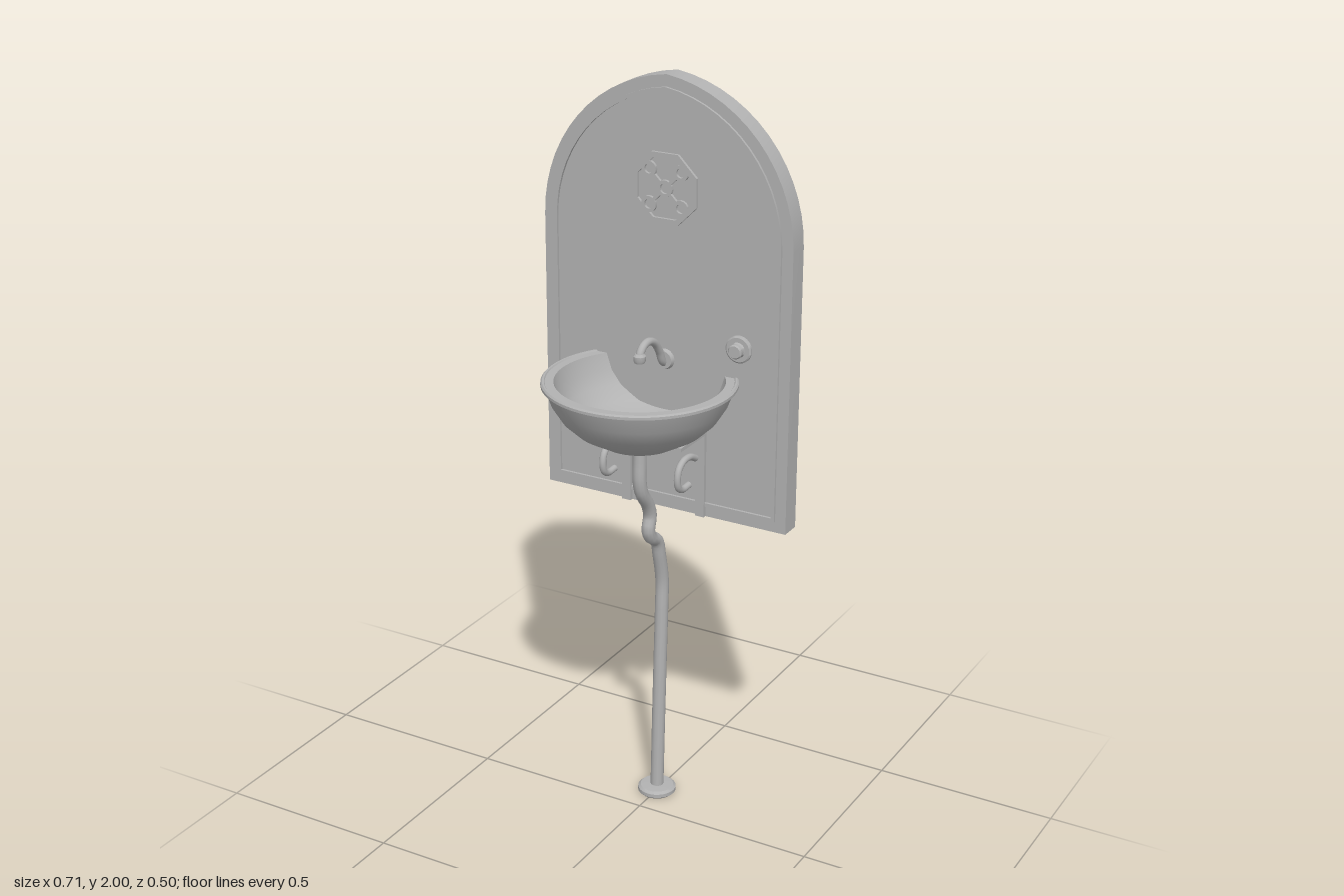
import * as THREE from 'three';
import { toCreasedNormals } from 'three/addons/utils/BufferGeometryUtils.js';

const stone = new THREE.MeshStandardMaterial({ color: 0xb2b2b2 });
stone.name = 'grey stone';

function add(parent, name, geometry, x = 0, y = 0, z = 0) {
  const mesh = new THREE.Mesh(geometry, stone);
  mesh.name = name;
  mesh.position.set(x, y, z);
  parent.add(mesh);
  return mesh;
}

// Slightly pointed arch outline, inset from the panel edge
function archPoints(inset) {
  const cx = 0.048, r = 0.403 - inset, spring = 1.6;
  const end = Math.acos(cx / r), right = [];
  for (let i = 0; i <= 14; i++) {
    const a = (end * i) / 14;
    right.push(new THREE.Vector2(r * Math.cos(a) - cx, spring + r * Math.sin(a)));
  }
  const left = right.slice(0, -1).reverse().map(p => new THREE.Vector2(-p.x, p.y));
  const w = 0.355 - inset, bottom = 0.85 + inset;
  return [new THREE.Vector2(-w, bottom), new THREE.Vector2(w, bottom), ...right, ...left];
}

function extrude(shape, depth) {
  return toCreasedNormals(
    new THREE.ExtrudeGeometry(shape, { depth, bevelEnabled: false, curveSegments: 24 }), 0.5);
}

function ringShape(outer, inner) {
  const shape = new THREE.Shape(outer);
  shape.holes.push(new THREE.Path(inner));
  return shape;
}

function polygon(radius, sides, turn = 0) {
  return Array.from({ length: sides }, (_, i) => {
    const a = turn + (i / sides) * Math.PI * 2;
    return new THREE.Vector2(radius * Math.cos(a), radius * Math.sin(a));
  });
}

// Tube in the x = 0 plane through [z, y] pairs, closed by discs
function pipe(parent, name, pairs, radius, segments, x = 0) {
  const pts = pairs.map(([z, y]) => new THREE.Vector3(0, y, z));
  const curve = new THREE.CatmullRomCurve3(pts, false, 'centripetal');
  add(parent, name, new THREE.TubeGeometry(curve, segments, radius, 12), x);
  for (const t of [0, 1]) {
    const cap = add(parent, name + 'End', new THREE.CircleGeometry(radius, 12));
    const dir = curve.getTangent(t).multiplyScalar(t ? 1 : -1);
    cap.position.copy(curve.getPoint(t)).setX(x);
    cap.quaternion.setFromUnitVectors(new THREE.Vector3(0, 0, 1), dir);
  }
}

function lathe(pairs, segments = 48) {
  const pts = pairs.map(([r, y]) => new THREE.Vector2(r, y));
  return toCreasedNormals(new THREE.LatheGeometry(pts, segments), 0.55);
}

export function createModel() {
  const model = new THREE.Group();
  model.name = 'wallFountain';

  // Back panel with a raised moulding
  add(model, 'backPanel', extrude(new THREE.Shape(archPoints(0)), 0.057), 0, 0, -0.187);
  add(model, 'panelMoulding',
    extrude(ringShape(archPoints(0.03), archPoints(0.04)), 0.008), 0, 0, -0.131);

  // Octagonal rosette
  const rosette = new THREE.Group();
  rosette.name = 'rosette';
  rosette.position.set(0, 1.715, -0.131);
  model.add(rosette);
  const turn = Math.PI / 8;
  add(rosette, 'rosetteRim', extrude(ringShape(polygon(0.098, 8, turn), polygon(0.083, 8, turn)), 0.009));
  add(rosette, 'rosetteCentre', extrude(ringShape(polygon(0.022, 16), polygon(0.013, 16)), 0.009));
  for (let i = 0; i < 4; i++) {
    const a = Math.PI / 4 + (i * Math.PI) / 2, c = Math.cos(a), s = Math.sin(a);
    const spoke = add(rosette, 'rosetteSpoke', new THREE.BoxGeometry(0.03, 0.009, 0.009),
      0.034 * c, 0.034 * s, 0.0045);
    spoke.rotation.z = a;
    add(rosette, 'rosetteRing', extrude(ringShape(polygon(0.021, 16), polygon(0.012, 16)), 0.009),
      0.064 * c, 0.064 * s);
  }

  // Basin, passing through the panel
  add(model, 'basin', lathe([
    [0, 1.085], [0.1, 1.085], [0.112, 1.092], [0.165, 1.122], [0.2, 1.155], [0.225, 1.195],
    [0.241, 1.238], [0.25, 1.241], [0.25, 1.248], [0.246, 1.252], [0.241, 1.252], [0.239, 1.249],
    [0.217, 1.249], [0.205, 1.205], [0.185, 1.17], [0.15, 1.135], [0.1, 1.112], [0.05, 1.104], [0, 1.102]
  ], 64));
  add(model, 'drain', new THREE.CylinderGeometry(0.03, 0.03, 0.006, 32), 0, 1.104, 0);

  // Spout
  pipe(model, 'spout', [[-0.135, 1.25], [-0.115, 1.265], [-0.1, 1.295], [-0.075, 1.325],
    [-0.045, 1.338], [-0.018, 1.334], [-0.002, 1.318], [0.001, 1.3]], 0.0105, 40);
  add(model, 'spoutTip', lathe([[0, 1.296], [0.013, 1.296], [0.016, 1.303], [0.016, 1.314],
    [0.011, 1.32], [0, 1.32]], 20));
  const flange = add(model, 'spoutFlange', new THREE.CylinderGeometry(0.024, 0.028, 0.012, 24), 0, 1.265, -0.125);
  flange.rotation.x = Math.PI / 2;

  // Push button on the panel
  const button = add(model, 'button', lathe([[0.036, 0], [0.036, 0.008], [0.032, 0.011],
    [0.02, 0.011], [0.018, 0.015], [0.019, 0.027], [0.016, 0.031], [0, 0.031]], 32), 0.213, 1.33, -0.132);
  button.rotation.x = Math.PI / 2;

  // Brackets: wall strap, arm and scroll on each side
  for (const side of [-1, 1]) {
    const x = side * 0.11;
    add(model, 'bracketStrap', new THREE.BoxGeometry(0.026, 0.238, 0.01), x, 0.969, -0.125);
    add(model, 'bracketArm', new THREE.BoxGeometry(0.026, 0.01, 0.135), x, 1.085, -0.0625);
    pipe(model, 'bracketScroll', [[-0.095, 1.025], [-0.065, 1.039], [-0.03, 1.039], [-0.008, 1.025],
      [0, 1], [-0.006, 0.975], [-0.025, 0.963], [-0.06, 0.963]], 0.009, 32, x);
  }

  // Waste pipe and floor flange
  pipe(model, 'wastePipe', [[0, 1.095], [0, 1.03], [0, 0.97], [-0.01, 0.935], [-0.042, 0.89],
    [-0.054, 0.855], [-0.045, 0.815], [-0.058, 0.79], [-0.09, 0.768], [-0.104, 0.72],
    [-0.12, 0.64], [-0.118, 0.56], [-0.106, 0.28], [-0.096, 0.01]], 0.018, 80);
  add(model, 'floorFlange', lathe([[0, 0], [0.047, 0], [0.052, 0.005], [0.052, 0.015],
    [0.045, 0.021], [0, 0.023]], 32), 0, 0, -0.096);

  return model;
}
